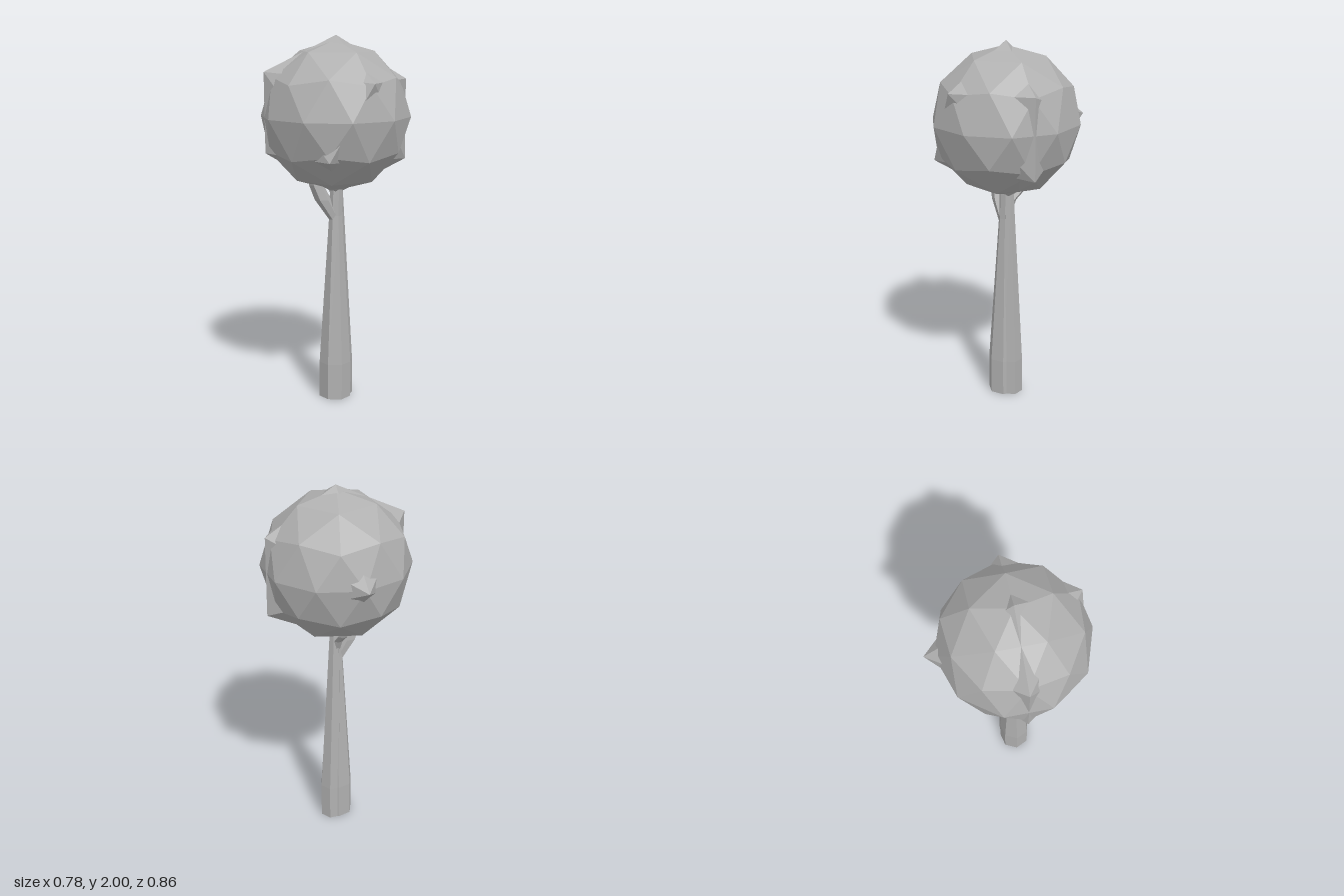
import * as THREE from 'three';
import { ConvexGeometry } from 'three/addons/geometries/ConvexGeometry.js';

const stoneGrey = new THREE.MeshStandardMaterial({ color: 0xb0b0b0, flatShading: true });
stoneGrey.name = 'plainGrey';

const V = (x, y, z) => new THREE.Vector3(x, y, z);

function part(name, geometry) {
  const mesh = new THREE.Mesh(geometry, stoneGrey);
  mesh.name = name;
  return mesh;
}

// Closed limb lofted through level rings; each ring is [x, y, z, radius]
function limb(rings, sides = 6, turn = 0) {
  const pos = [], index = [];
  for (const [x, y, z, r] of rings) {
    for (let i = 0; i < sides; i++) {
      const a = turn + (i / sides) * Math.PI * 2;
      pos.push(x + r * Math.cos(a), y, z + r * Math.sin(a));
    }
  }
  for (let k = 0; k < rings.length - 1; k++) {
    for (let i = 0; i < sides; i++) {
      const j = (i + 1) % sides;
      const a = k * sides + i, b = k * sides + j;
      index.push(a, a + sides, b, b, a + sides, b + sides);
    }
  }
  const top = (rings.length - 1) * sides;
  for (let i = 1; i < sides - 1; i++) {
    index.push(0, i, i + 1);
    index.push(top, top + i + 1, top + i);
  }
  const g = new THREE.BufferGeometry();
  g.setAttribute('position', new THREE.Float32BufferAttribute(pos, 3));
  g.setIndex(index);
  g.computeVertexNormals();
  return g;
}

export function createModel() {
  const tree = new THREE.Group();
  tree.name = 'tree';

  // Round crown: subdivided icosahedron standing on a vertex
  const crown = new THREE.IcosahedronGeometry(0.405, 1);
  crown.rotateZ(-Math.atan(2 / (1 + Math.sqrt(5))));
  crown.translate(-0.003, 1.57, 0.025);
  tree.add(part('crown', crown));

  // Coarse inner crown whose corners poke through the round one
  const z = 0.025;
  tree.add(part('innerCrown', new ConvexGeometry([
    V(0, 2, z), V(-0.39, 1.81, z), V(-0.385, 1.38, z), V(0, 1.145, z),
    V(0.387, 1.33, z), V(0.387, 1.765, z),
    V(0, 1.575, -0.432), V(0.12, 1.765, 0.392), V(-0.115, 1.365, 0.392),
  ])));

  // Main trunk, bending into the right-hand branch under the crown
  tree.add(part('mainTrunk', limb([
    [-0.008, 0, 0.035, 0.088], [-0.008, 0.2, 0.035, 0.088],
    [-0.003, 1.03, 0.028, 0.036], [0.004, 1.3, 0.025, 0.034],
  ], 7, 0.45)));

  // Second stem grown together with the trunk
  tree.add(part('sideStem', limb([
    [0.032, 0, 0.01, 0.064], [0.032, 0.2, 0.01, 0.064],
    [0.012, 1.17, 0.015, 0.028], [0.012, 1.3, 0.02, 0.026],
  ])));

  // Branches reaching into the crown
  tree.add(part('sideBranch', limb([
    [-0.005, 1.0, 0.03, 0.03], [-0.075, 1.12, 0.03, 0.045],
    [-0.11, 1.2, 0.03, 0.04], [-0.14, 1.3, 0.03, 0.03],
  ])));
  tree.add(part('backBranch', limb([
    [0.005, 1.05, 0.02, 0.02], [0, 1.13, -0.01, 0.024],
    [-0.005, 1.18, -0.065, 0.024], [-0.01, 1.3, -0.12, 0.02],
  ], 5)));

  return tree;
}
